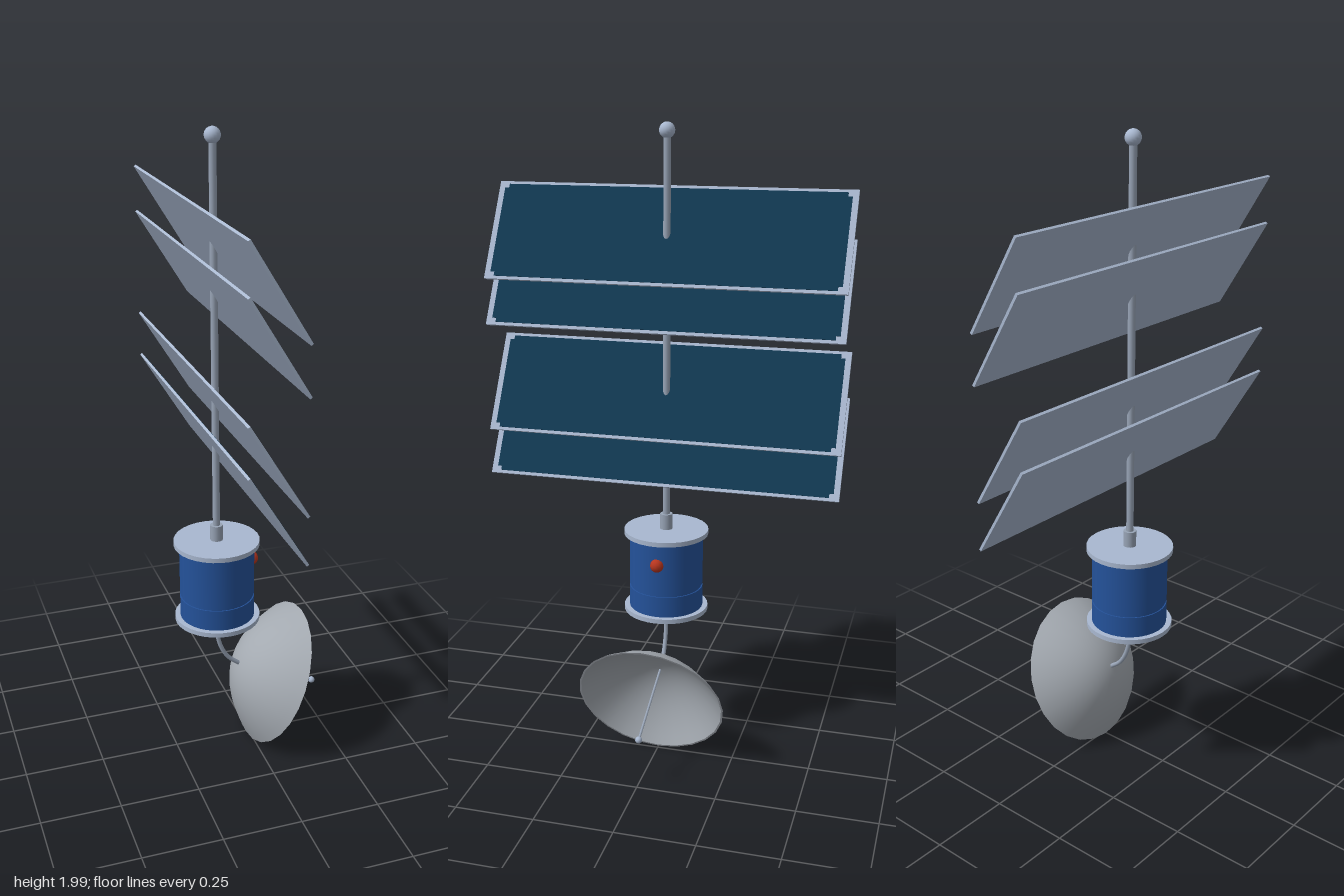
import * as THREE from 'three';

const mat = (name, color) => {
  const m = new THREE.MeshStandardMaterial({ color });
  m.name = name;
  return m;
};

export function createModel() {
  const root = new THREE.Group();
  root.name = 'satellite';
  const metal = mat('pale metal', 0xa9b8d0);
  const steel = mat('mast steel', 0x98a4b6);
  const blue = mat('body blue', 0x24529a);
  const cells = mat('solar cells', 0x113851);
  const grey = mat('dish grey', 0xa3a9b0);
  const red = mat('beacon red', 0xb8361f);
  const AX = -0.105; // mast axis

  const add = (parent, name, geo, material, x = 0, y = 0, z = 0) => {
    const mesh = new THREE.Mesh(geo, material);
    mesh.name = name;
    mesh.position.set(x, y, z);
    parent.add(mesh);
    return mesh;
  };
  // upright cylinder between two heights
  const post = (parent, name, material, r, y0, y1, x = AX, seg = 32) =>
    add(parent, name, new THREE.CylinderGeometry(r, r, y1 - y0, seg), material, x, (y0 + y1) / 2);

  // Body: drum with a shallow groove, capped by two flanges
  post(root, 'lowerDrum', blue, 0.118, 0.478, 0.548);
  post(root, 'drumGroove', blue, 0.114, 0.548, 0.557);
  post(root, 'upperDrum', blue, 0.118, 0.557, 0.727);
  post(root, 'bottomFlange', metal, 0.135, 0.465, 0.48);
  post(root, 'topFlange', metal, 0.135, 0.725, 0.74);
  add(root, 'beacon', new THREE.SphereGeometry(0.022, 12, 8), red, 0.01, 0.655);

  // Mast
  post(root, 'mastCollar', steel, 0.02, 0.74, 0.79, AX, 16);
  post(root, 'mast', steel, 0.0115, 0.79, 1.97, AX, 12);
  add(root, 'mastBall', new THREE.SphereGeometry(0.024, 16, 12), metal, AX, 1.976);

  // Cell plate outline, notched at the corners for the frame brackets
  const W = 0.539, H = 0.153, N = 0.013;
  const outline = new THREE.Shape([
    [-W + N, -H], [W - N, -H], [W - N, -H + N], [W, -H + N], [W, H - N], [W - N, H - N],
    [W - N, H], [-W + N, H], [-W + N, H - N], [-W, H - N], [-W, -H + N], [-W + N, -H + N],
  ].map(([x, y]) => new THREE.Vector2(x, y)));
  const plate = new THREE.ExtrudeGeometry(outline, { depth: 0.002, bevelEnabled: false });
  plate.rotateY(Math.PI / 2);

  // Four tilted solar panels threaded on the mast
  const frame = new THREE.BoxGeometry(0.008, 0.325, 1.114);
  [1.67, 1.527, 1.19, 1.046].forEach((y, i) => {
    const panel = new THREE.Group();
    panel.name = 'solarPanel' + (i + 1);
    panel.position.set(AX, y, 0);
    panel.rotation.z = THREE.MathUtils.degToRad(31.2);
    add(panel, 'panelFrame', frame, metal);
    add(panel, 'panelCells', plate, cells, 0.0035);
    root.add(panel);
  });

  // Bent arm from the body to the back of the dish
  const arm = new THREE.CatmullRomCurve3([
    [-0.105, 0.47], [-0.105, 0.395], [-0.092, 0.345], [-0.067, 0.304], [-0.031, 0.275],
  ].map(([x, y]) => new THREE.Vector3(x, y, 0)));
  add(root, 'dishArm', new THREE.TubeGeometry(arm, 24, 0.007, 10), steel);

  // Parabolic dish, opening along local +y
  const dish = new THREE.Group();
  dish.name = 'dish';
  dish.position.set(0.0875, 0.22, 0);
  dish.rotation.z = Math.atan2(-0.911, -0.413);
  root.add(dish);
  const R = 0.236, D = 0.135, T = 0.006;
  const bowl = (r, d) => Array.from({ length: 13 }, (_, i) => {
    const t = i / 12;
    return new THREE.Vector2(r * t, -d * (1 - t * t));
  });
  const outer = bowl(R, D), inner = bowl(R - T, D - T).reverse();
  const turn = (name, pts) => add(dish, name, new THREE.LatheGeometry(pts, 24), grey);
  turn('dishOuter', outer);
  turn('dishRim', [outer[12], inner[0]]);
  turn('dishInner', inner);

  // Feed rod and tip
  post(dish, 'feedRod', steel, 0.004, -0.132, 0.15, 0, 8);
  add(dish, 'feedTip', new THREE.SphereGeometry(0.011, 12, 8), metal, 0, 0.151);

  return root;
}
